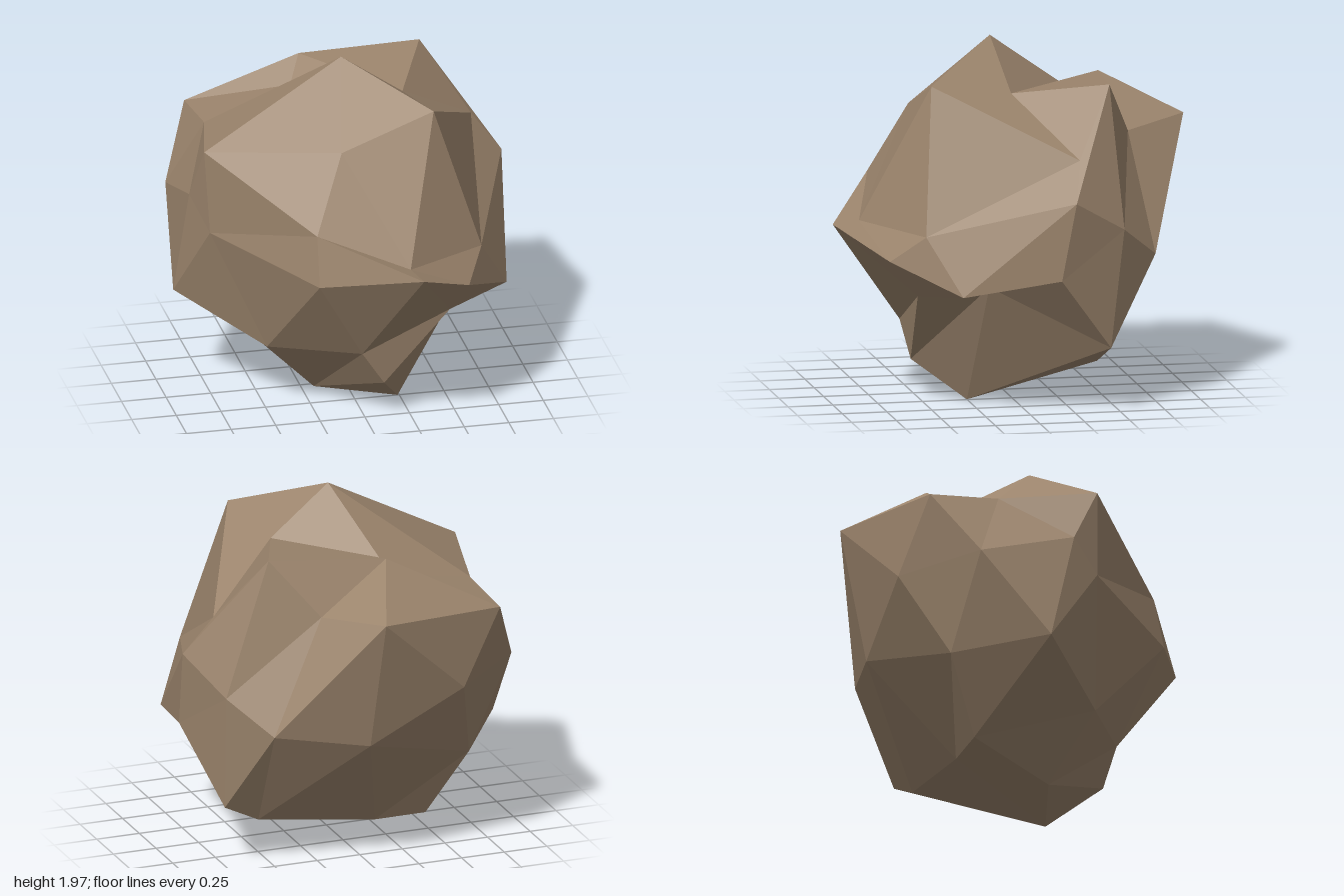
import * as THREE from 'three';

// Corner points of a rough 20-sided solid: back pole, two rings of five, front pole
const BACK = [-0.48, 1.03, -0.84];
const RING1 = [[0.28, 1.47, -0.64], [-0.2, 1.59, -0.46], [-0.88, 1.22, 0.04], [-0.43, 0.15, -0.385], [0.56, 0.25, -0.41]];
const RING2 = [[0.77, 1.41, -0.27], [-0.13, 1.59, 0.5], [-0.31, 0.91, 0.75], [0.1, 0.21, 0.535], [0.92, 0.77, -0.14]];
const FRONT = [0.53, 0.84, 0.74];

// Displaced edge midpoints, grouped by the kind of edge they split
const BACK_TO_R1 = [[0.04, 1.51, -1], [-0.73, 1.43, -0.74], [-0.89, 1.06, -0.5], [-0.61, 0.55, -0.58], [0.07, 0.76, -0.84]];
const AROUND_R1 = [[-0.13, 1.73, -0.56], [-0.71, 1.47, -0.34], [-0.935, 0.59, -0.11], [-0.13, 0.15, -0.39], [0.59, 0.84, -0.73]];
const R1_TO_R2 = [[0.53, 1.78, -0.485], [-0.035, 1.97, 0.065], [-0.8, 1.05, 0.2], [-0.2, 0.04, 0.12], [0.77, 0.36, -0.445]];
const NEXT_R1_TO_R2 = [[0.32, 1.71, 0.02], [-0.83, 1.53, 0.19], [-0.5, 0.38, 0.29], [0.24, 0, 0.25], [0.79, 1.02, -0.515]];
const AROUND_R2 = [[0.39, 1.78, 0.48], [-0.31, 1.19, 0.69], [-0.03, 0.41, 0.57], [0.65, 0.7, 0.21], [0.93, 1.2, -0.22]];
const R2_TO_FRONT = [[0.64, 0.99, 0.56], [0.18, 1.01, 0.84], [0.22, 1, 0.995], [0.46, 0.63, 0.57], [0.82, 0.68, 0.39]];

export function createModel() {
  const group = new THREE.Group();
  group.name = 'rock';
  const stone = new THREE.MeshStandardMaterial({ color: 0x9b846c });
  stone.name = 'brown stone';

  const positions = [];
  const tri = (a, b, c) => positions.push(...a, ...b, ...c);
  // One large face split in four: corners a, b, c and the midpoints between them
  const face = (a, b, c, ab, bc, ca) => {
    tri(a, ab, ca);
    tri(ab, b, bc);
    tri(ca, bc, c);
    tri(ab, bc, ca);
  };

  for (let i = 0; i < 5; i++) {
    const n = (i + 1) % 5;
    // back cap
    face(BACK, RING1[n], RING1[i], BACK_TO_R1[n], AROUND_R1[i], BACK_TO_R1[i]);
    // middle band, two faces per step
    face(RING1[i], RING1[n], RING2[i], AROUND_R1[i], NEXT_R1_TO_R2[i], R1_TO_R2[i]);
    face(RING1[n], RING2[n], RING2[i], R1_TO_R2[n], AROUND_R2[i], NEXT_R1_TO_R2[i]);
    // front cap
    face(FRONT, RING2[i], RING2[n], R2_TO_FRONT[i], AROUND_R2[i], R2_TO_FRONT[n]);
  }

  const geometry = new THREE.BufferGeometry();
  geometry.setAttribute('position', new THREE.Float32BufferAttribute(positions, 3));
  geometry.computeVertexNormals(); // unshared corners give flat facets

  const boulder = new THREE.Mesh(geometry, stone);
  boulder.name = 'boulder';
  group.add(boulder);
  return group;
}
